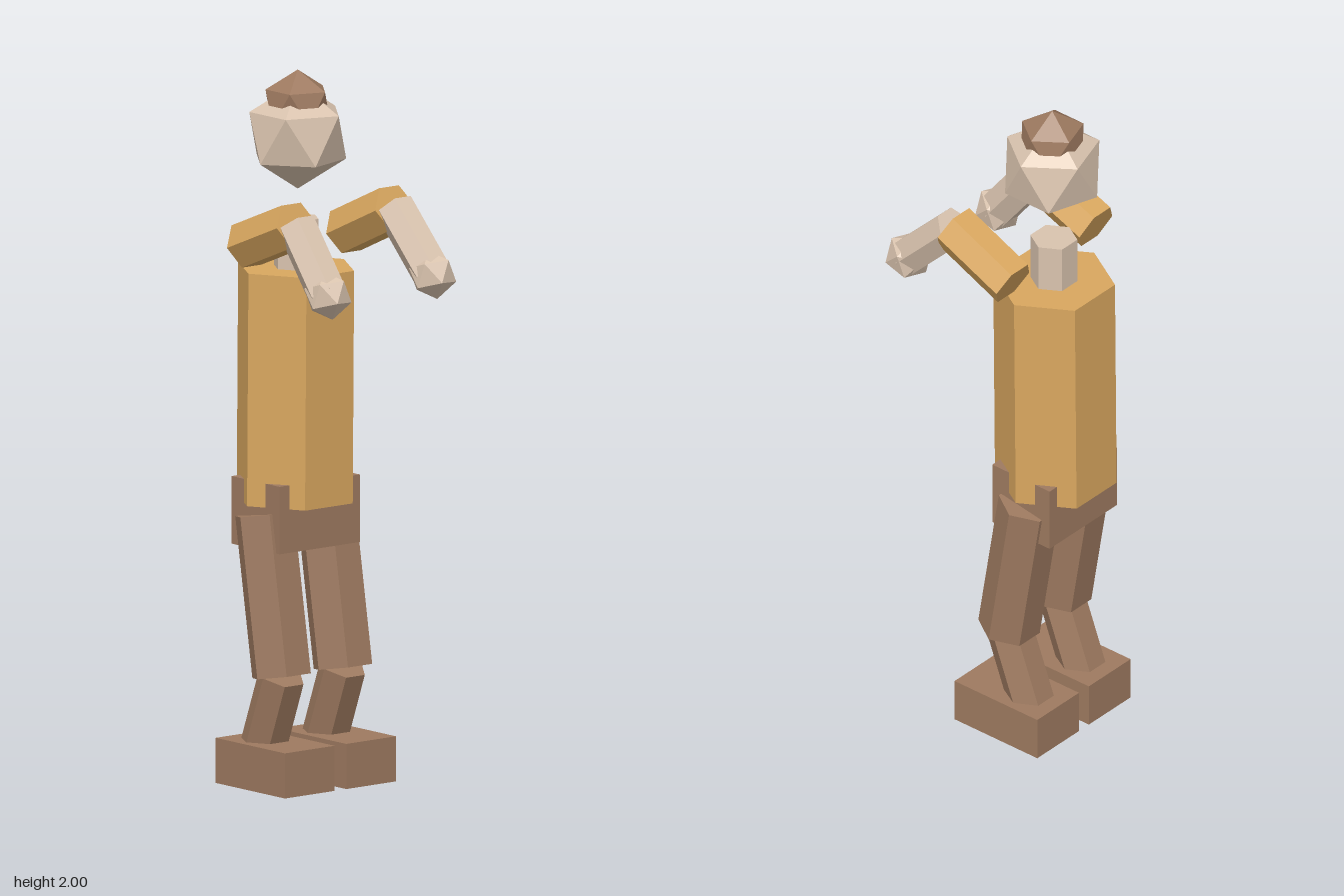
import * as THREE from 'three';

const mat = (name, color) => {
  const m = new THREE.MeshStandardMaterial({ color, flatShading: true });
  m.name = name;
  return m;
};

export function createModel() {
  const group = new THREE.Group();
  const orange = mat('ochre shirt', 0xd9a75f);
  const skin = mat('pale skin', 0xd9c3ae);
  const brown = mat('brown', 0x9e7a60);

  const add = (name, geometry, material, x, y, z, tilt = 0) => {
    const mesh = new THREE.Mesh(geometry, material);
    mesh.name = name;
    mesh.position.set(x, y, z);
    mesh.rotation.x = tilt;
    group.add(mesh);
  };

  // Six-sided bar between two [y, z] points, corners pointing sideways
  const limb = (name, material, radius, x, [y1, z1], [y2, z2]) => {
    const dy = y1 - y2, dz = z1 - z2;
    const geo = new THREE.CylinderGeometry(radius, radius, Math.hypot(dy, dz), 6).rotateY(Math.PI / 2);
    add(name, geo, material, x, (y1 + y2) / 2, (z1 + z2) / 2, Math.atan2(dz, dy));
  };

  // Icosahedron standing on a corner, upper ring corner towards +x
  const ball = (name, material, radius, x, y, z, tilt = 0) => {
    const geo = new THREE.IcosahedronGeometry(radius, 0)
      .rotateX(-Math.atan((1 + Math.sqrt(5)) / 2))
      .rotateY(Math.PI / 2);
    add(name, geo, material, x, y, z, tilt);
  };

  // Body, neck and head
  limb('torso', orange, 0.171, 0, [1.445, -0.144], [0.79, -0.15]);
  add('hips', new THREE.BoxGeometry(0.288, 0.19, 0.208), brown, 0, 0.762, -0.146);
  limb('neck', skin, 0.066, 0, [1.583, -0.143], [1.4, -0.143]);
  ball('head', skin, 0.15, 0, 1.815, -0.137);
  ball('hair', brown, 0.1, 0, 1.9, -0.137);

  // Legs
  for (const side of [-1, 1]) {
    const x = side * 0.11;
    limb('thigh', brown, 0.087, x, [0.762, -0.148], [0.317, -0.074]);
    limb('shin', brown, 0.067, x, [0.317, -0.074], [0.09, -0.16]);
    add('foot', new THREE.BoxGeometry(0.178, 0.127, 0.3), brown, x, 0.0635, -0.102);
  }

  // Arms, with the left one reaching slightly higher and further forward
  const arms = [
    { x: -0.179, shoulder: [1.527, -0.143], elbow: [1.614, 0.073], hand: [1.436, 0.21] },
    { x: 0.18, shoulder: [1.523, -0.147], elbow: [1.619, 0.066], hand: [1.454, 0.23] },
  ];
  for (const { x, shoulder, elbow, hand } of arms) {
    limb('upperArm', orange, 0.07, x, shoulder, elbow);
    limb('forearm', skin, 0.057, x, elbow, hand);
    ball('hand', skin, 0.068, x, hand[0], hand[1], -0.3);
  }

  return group;
}
